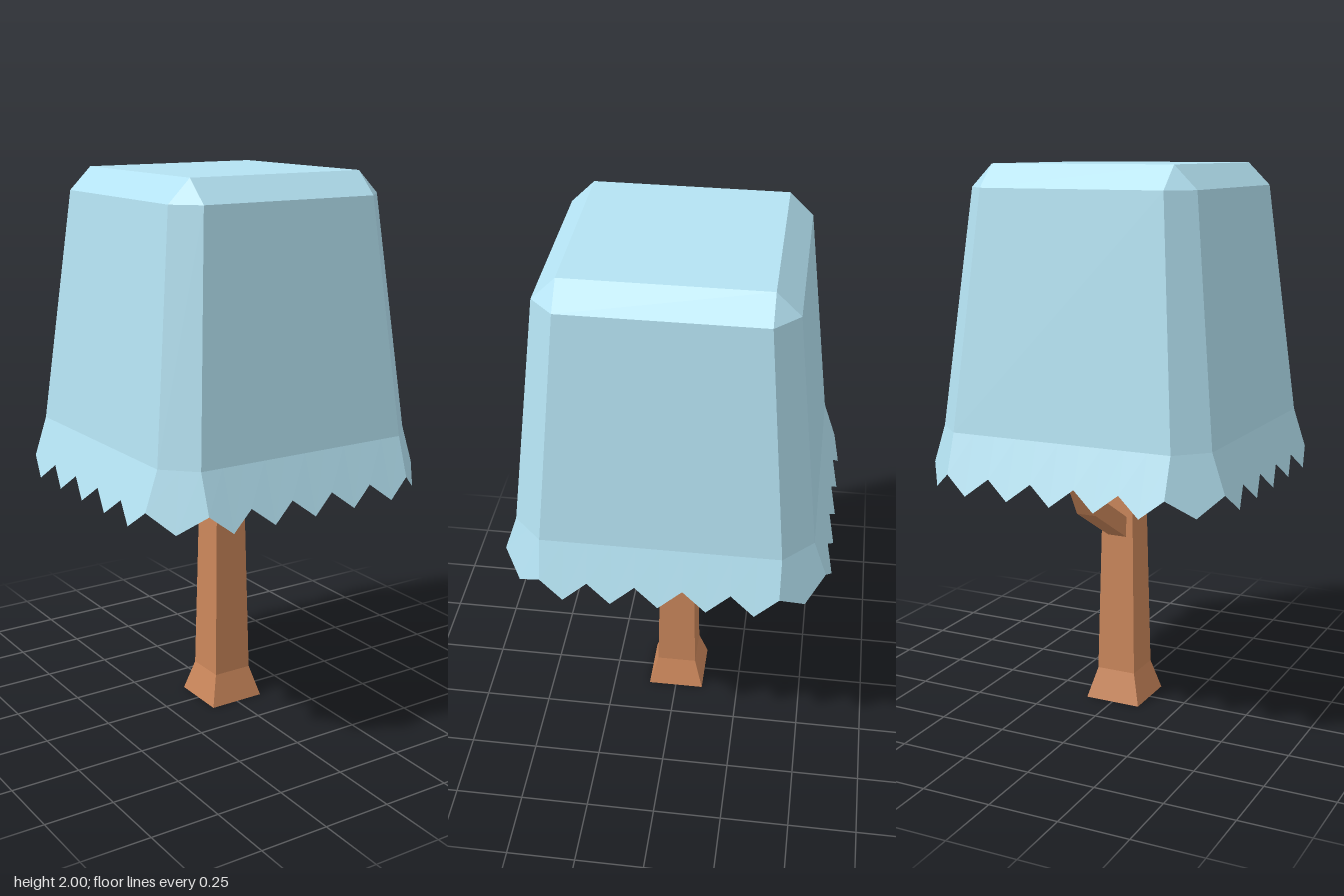
import * as THREE from 'three';

const leafMat = new THREE.MeshStandardMaterial({ color: 0xb4e2f2, flatShading: true, side: THREE.DoubleSide });
const barkMat = new THREE.MeshStandardMaterial({ color: 0xcb875b, flatShading: true });

// Quarter turn about y, carrying the front side to the left side and so on.
function turn([x, y, z], times) {
  for (let i = 0; i < times; i++) [x, z] = [z, -x];
  return [x, y, z];
}

// Repeats one side's points round all four sides to make a closed ring.
function ringFrom(sidePoints) {
  return [0, 1, 2, 3].flatMap((k) => sidePoints.map((p) => turn(p, k)));
}

// Chamfered square: a = half length of the flat, b = distance from the axis (a = b gives sharp corners).
const square = (y, a, b) => ringFrom([[-a, y, b], [a, y, b]]);

// Faceted skin through rings listed from bottom to top, with optional end caps.
function loft(rings, capped) {
  const positions = [];
  const same = (p, q) => p.every((v, i) => v === q[i]);
  const tri = (p, q, r) => {
    if (!same(p, q) && !same(q, r) && !same(r, p)) positions.push(...p, ...q, ...r);
  };
  const n = rings[0].length;
  for (let i = 0; i < n; i++) {
    const j = (i + 1) % n;
    for (let k = 0; k + 1 < rings.length; k++) {
      const low = rings[k], high = rings[k + 1];
      tri(low[i], low[j], high[j]);
      tri(low[i], high[j], high[i]);
    }
    if (capped) {
      const bottom = rings[0], top = rings[rings.length - 1];
      tri([0, bottom[0][1], 0], bottom[j], bottom[i]);
      tri([0, top[0][1], 0], top[i], top[j]);
    }
  }
  const geometry = new THREE.BufferGeometry();
  geometry.setAttribute('position', new THREE.Float32BufferAttribute(positions, 3));
  geometry.computeVertexNormals();
  return geometry;
}

function addMesh(parent, name, geometry, material) {
  const mesh = new THREE.Mesh(geometry, material);
  mesh.name = name;
  parent.add(mesh);
  return mesh;
}

// Flared hem whose lower edge is cut into pointed teeth.
function skirtGeometry() {
  const upper = [], lower = [];
  const teeth = 10;
  for (let i = 0; i <= teeth; i++) {
    const x = -0.412 + (0.824 * i) / teeth;
    const down = i % 2 === 1;
    upper.push([x, 1.085, 0.515]);
    lower.push([x, down ? 0.88 : 0.945, down ? 0.583 : 0.562]);
  }
  // single tooth on the chamfered corner
  upper.push([0.4635, 1.085, 0.4635]);
  lower.push([0.498, 0.88, 0.498]);
  return loft([ringFrom(lower), ringFrom(upper)], false);
}

// Bent branch of square section, drawn in the x-y plane with y = 0 at its underside on the trunk.
function branchGeometry(rise) {
  const w = 0.037;
  const slope = Math.tan(Math.PI / 6), steep = Math.tan(Math.PI / 3);
  const outer = [0.312, 0.145], inner = [0.264, 0.195];
  const shape = new THREE.Shape([
    [0.02, outer[1] - slope * (outer[0] - 0.02)],
    outer,
    [outer[0] + (rise - outer[1]) / steep, rise],
    [inner[0] + (rise - inner[1]) / steep, rise],
    inner,
    [0.02, inner[1] - slope * (inner[0] - 0.02)],
  ].map(([x, y]) => new THREE.Vector2(x, y)));
  return new THREE.ExtrudeGeometry(shape, { depth: 2 * w, bevelEnabled: false }).translate(0, 0, -w);
}

export function createModel() {
  const model = new THREE.Group();
  model.name = 'tree';

  // Trunk with flared foot
  addMesh(model, 'trunk', loft([
    square(0, 0.107, 0.107),
    square(0.115, 0.075, 0.075),
    square(1.09, 0.055, 0.055),
  ], true), barkMat);

  // Four branches climbing round the trunk, ending just inside the crown
  const branches = new THREE.Group();
  branches.name = 'branches';
  model.add(branches);
  const starts = [
    ['backBranch', 0.642, Math.PI / 2],
    ['leftBranch', 0.725, 0],
    ['frontBranch', 0.805, -Math.PI / 2],
    ['rightBranch', 0.887, Math.PI],
  ];
  for (const [name, y, angle] of starts) {
    const branch = addMesh(branches, name, branchGeometry(1.1 - y), barkMat);
    branch.position.y = y;
    branch.rotation.y = angle;
  }

  // Chamfered block of foliage with a toothed hem
  const canopy = new THREE.Group();
  canopy.name = 'canopy';
  model.add(canopy);
  addMesh(canopy, 'crown', loft([
    square(1.085, 0.412, 0.515),
    square(1.92, 0.34, 0.422),
    square(2, 0.34, 0.34),
  ], true), leafMat);
  addMesh(canopy, 'skirt', skirtGeometry(), leafMat);

  return model;
}
